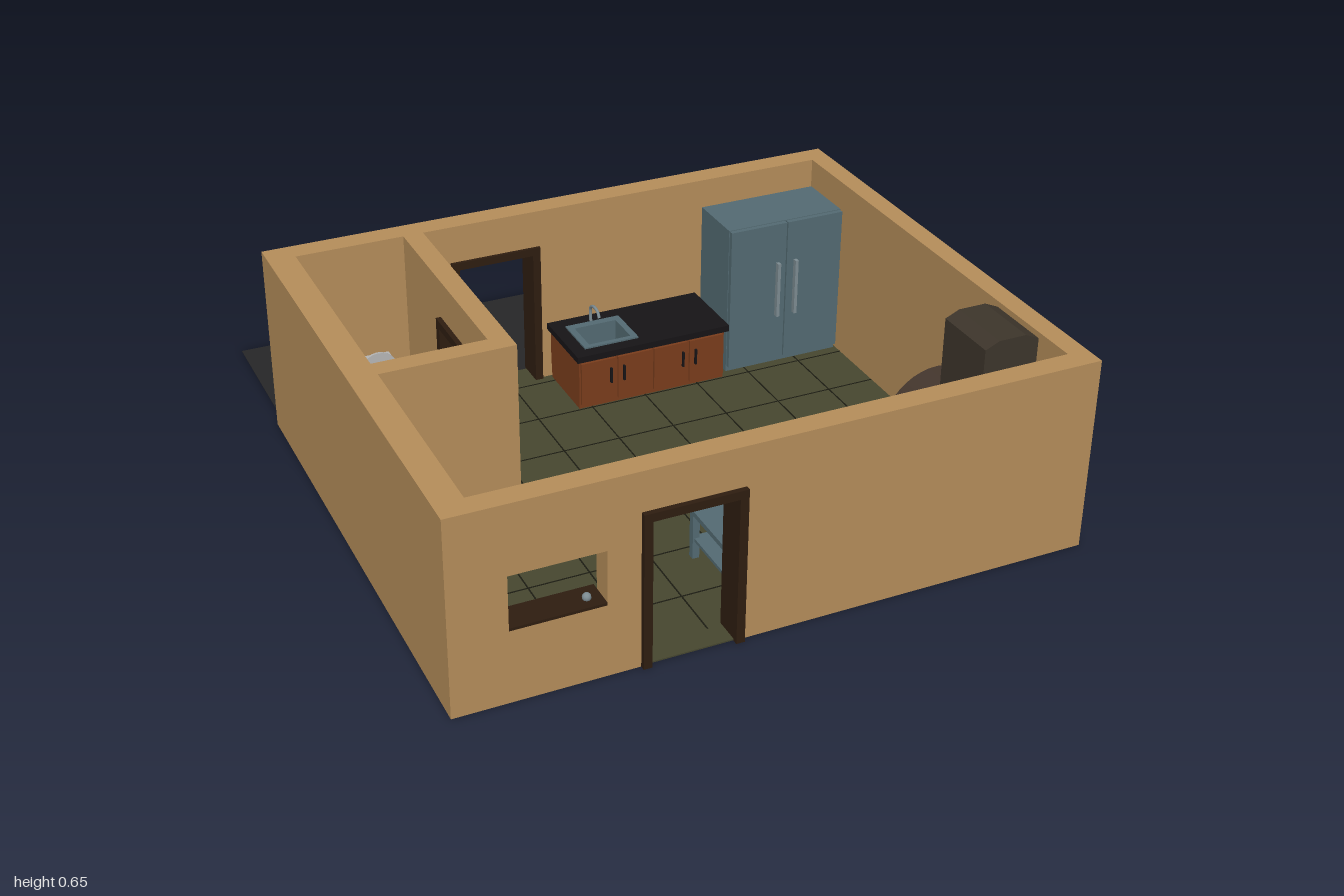
import * as THREE from 'three';

const mat = (color) => new THREE.MeshStandardMaterial({ color, flatShading: true });
const WALL = mat(0xb58d5a), FRAME = mat(0x2e1d10), TILE = mat(0x46462f), GROUT = mat(0x1c1c12);
const STEEL = mat(0x536a72), WOOD = mat(0x7a3d1c), BLACK = mat(0x161416), OVEN = mat(0x44362d);
const CHIMNEY = mat(0x3d352b), SOOT = mat(0x2c3437), GROUND = mat(0x262627);
const PORCELAIN = new THREE.MeshStandardMaterial({ color: 0xb4b4b4 });
const CHROME = new THREE.MeshStandardMaterial({ color: 0x7d8c92 });

function add(parent, name, geo, material) {
  const m = new THREE.Mesh(geo, material);
  m.name = name;
  parent.add(m);
  return m;
}

// Box given by its lower and upper corners
function box(parent, name, material, x0, x1, y0, y1, z0, z1) {
  const m = add(parent, name, new THREE.BoxGeometry(x1 - x0, y1 - y0, z1 - z0), material);
  m.position.set((x0 + x1) / 2, (y0 + y1) / 2, (z0 + z1) / 2);
  return m;
}

const poly = (pts) => new THREE.Shape(pts.map(([x, y]) => new THREE.Vector2(x, y)));
const rect = (x0, x1, y0, y1) => poly([[x0, y0], [x1, y0], [x1, y1], [x0, y1]]);
const extrude = (shape, depth, curveSegments = 12) =>
  new THREE.ExtrudeGeometry(shape, { depth, bevelEnabled: false, curveSegments });

const H = 0.57, DOOR_H = 0.455, DOOR_W = 0.28;

// Wall from a to b with one doorway starting at d, optional window
function doorWall(parent, name, a, b, d, thickness, window) {
  const s = poly([[a, 0], [d, 0], [d, DOOR_H], [d + DOOR_W, DOOR_H], [d + DOOR_W, 0], [b, 0], [b, H], [a, H]]);
  if (window) s.holes.push(rect(...window));
  return add(parent, name, extrude(s, thickness), WALL);
}

function doorFrame(parent, name, x, z, turn = 0) {
  const g = new THREE.Group(), w = DOOR_W / 2, t = 0.024, d = 0.045;
  g.name = name;
  for (const s of [-1, 1]) {
    const c = s * (w - t / 2);
    box(g, 'jamb', FRAME, c - t / 2, c + t / 2, 0, DOOR_H, -d, d);
  }
  box(g, 'lintel', FRAME, -w, w, DOOR_H - t, DOOR_H, -d, d);
  g.position.set(x, 0, z);
  g.rotation.y = turn;
  parent.add(g);
}

function buildShell(root) {
  const g = new THREE.Group();
  g.name = 'houseShell';
  root.add(g);
  doorWall(g, 'frontWall', -0.9, 0.9, -0.4, 0.065, [-0.745, -0.49, 0.215, 0.37]).position.z = 0.92;
  doorWall(g, 'backWall', -0.9, 0.9, -0.36, 0.07).position.z = -0.52;
  box(g, 'sideWall', WALL, -0.9, -0.82, 0, H, -0.45, 0.92);
  box(g, 'sideWall', WALL, 0.84, 0.9, 0, H, -0.45, 0.92);
  // Bathroom partitions
  const p = doorWall(g, 'bathroomWall', -0.29, 0.45, -0.135, 0.06);
  p.rotation.y = Math.PI / 2;
  p.position.x = -0.5;
  box(g, 'bathroomEndWall', WALL, -0.82, -0.5, 0, H, 0.23, 0.29);
  doorFrame(g, 'frontDoorFrame', -0.26, 0.955);
  doorFrame(g, 'backDoorFrame', -0.22, -0.485);
  doorFrame(g, 'bathroomDoorFrame', -0.47, -0.005, Math.PI / 2);
  // Window sill with a small bowl
  box(g, 'windowSill', FRAME, -0.745, -0.49, 0.212, 0.22, 0.9, 0.985);
  const bowl = add(g, 'sillBowl', new THREE.SphereGeometry(0.012, 10, 8), CHROME);
  bowl.position.set(-0.53, 0.226, 0.95);
  // Tiled floor and yard
  box(g, 'floor', TILE, -0.82, 0.84, 0.002, 0.006, -0.45, 0.92);
  box(g, 'floorThreshold', TILE, -0.376, -0.144, 0.002, 0.006, 0.92, 0.985);
  box(g, 'floorThreshold', TILE, -0.336, -0.104, 0.002, 0.006, -0.52, -0.45);
  for (let x = -0.71; x < 0.84; x += 0.175) box(g, 'groutLine', GROUT, x - 0.002, x + 0.002, 0.001, 0.007, -0.45, 0.92);
  for (let z = -0.415; z < 0.92; z += 0.197) box(g, 'groutLine', GROUT, -0.82, 0.84, 0.001, 0.007, z - 0.002, z + 0.002);
  box(g, 'yard', GROUND, -0.88, 0.87, 0, 0.002, -1, -0.52);
}

function buildKitchen(root) {
  const g = new THREE.Group();
  g.name = 'kitchenCounter';
  root.add(g);
  // Open-topped cabinet around the basin
  box(g, 'cabinetFloor', WOOD, -0.05, 0.43, 0, 0.05, -0.44, -0.225);
  box(g, 'cabinetFront', WOOD, -0.05, 0.43, 0.05, 0.17, -0.24, -0.225);
  box(g, 'cabinetBack', WOOD, -0.05, 0.43, 0.05, 0.17, -0.445, -0.43);
  for (const x of [-0.05, 0.415]) box(g, 'cabinetSide', WOOD, x, x + 0.015, 0.05, 0.17, -0.43, -0.24);
  for (let i = 0; i < 4; i++) {
    const x = -0.045 + i * 0.119;
    box(g, 'cabinetDoor', WOOD, x, x + 0.111, 0.02, 0.16, -0.225, -0.217);
    const h = x + (i % 2 ? 0.015 : 0.092);
    box(g, 'doorHandle', BLACK, h, h + 0.006, 0.08, 0.13, -0.217, -0.209);
  }
  const top = rect(-0.06, 0.44, 0.21, 0.45);
  top.holes.push(rect(-0.01, 0.145, 0.26, 0.39));
  const slab = add(g, 'countertop', extrude(top, 0.02), BLACK);
  slab.rotation.x = -Math.PI / 2;
  slab.position.y = 0.17;
  // Sink
  const rim = rect(-0.02, 0.155, 0.25, 0.4);
  rim.holes.push(rect(0, 0.135, 0.265, 0.375));
  const sink = add(g, 'sinkRim', extrude(rim, 0.09), STEEL);
  sink.rotation.x = -Math.PI / 2;
  sink.position.y = 0.105;
  box(g, 'sinkBottom', STEEL, -0.02, 0.155, 0.1, 0.108, -0.4, -0.25);
  const path = new THREE.CatmullRomCurve3([[0.19, -0.41], [0.235, -0.41], [0.25, -0.385], [0.245, -0.355], [0.23, -0.345]]
    .map(([y, z]) => new THREE.Vector3(0.068, y, z)));
  add(g, 'faucet', new THREE.TubeGeometry(path, 16, 0.005, 8), CHROME);

  const f = new THREE.Group();
  f.name = 'refrigerator';
  root.add(f);
  box(f, 'fridgeBody', STEEL, 0.45, 0.83, 0.01, 0.49, -0.43, -0.245);
  for (const [x, h] of [[0.452, 0.66], [0.642, 0.735]].map(([a], i) => [a, i ? 0.665 : 0.605])) {
    box(f, 'fridgeDoor', STEEL, x, x + 0.186, 0.03, 0.488, -0.245, -0.23);
    box(f, 'fridgeHandle', CHROME, h, h + 0.01, 0.18, 0.36, -0.23, -0.215);
  }

  // Steel work table with upstand and lower shelf
  const t = new THREE.Group();
  t.name = 'workTable';
  root.add(t);
  box(t, 'tableTop', STEEL, -0.09, 0.49, 0.15, 0.165, 0.6, 0.9);
  box(t, 'upstand', STEEL, -0.09, 0.49, 0.165, 0.2, 0.89, 0.9);
  box(t, 'lowerShelf', STEEL, -0.08, 0.48, 0.06, 0.07, 0.61, 0.89);
  for (const x of [-0.085, 0.465]) for (const z of [0.605, 0.875])
    box(t, 'tableLeg', STEEL, x, x + 0.02, 0, 0.15, z, z + 0.02);
}

function buildOven(root) {
  const g = new THREE.Group();
  g.name = 'archedOven';
  root.add(g);
  const R = 0.16, spring = 0.24;
  const arch = () => {
    const s = new THREE.Shape();
    s.moveTo(-R, 0);
    s.lineTo(R, 0);
    s.lineTo(R, spring);
    s.absarc(0, spring, R, 0, Math.PI, false);
    s.closePath();
    return s;
  };
  add(g, 'ovenBody', extrude(arch(), 0.28, 10), OVEN).position.z = 0.05;
  // Front with fire mouth and lower panel openings
  const face = arch(), mouth = new THREE.Path();
  mouth.absarc(0, spring - 0.015, 0.125, 0, Math.PI, false);
  mouth.closePath();
  face.holes.push(mouth, rect(-0.125, 0.125, 0.04, 0.195));
  add(g, 'ovenFront', extrude(face, 0.05, 10), OVEN);
  box(g, 'lowerPanel', STEEL, -0.125, 0.125, 0.04, 0.195, 0.015, 0.05);
  box(g, 'mouthLining', SOOT, -0.12, 0.12, 0.225, 0.3, 0.045, 0.052);
  const lining = add(g, 'mouthLining', new THREE.CircleGeometry(0.125, 12, 0, Math.PI), SOOT);
  lining.rotation.y = Math.PI;
  lining.position.set(0, spring - 0.015, 0.044);
  // Grate across the mouth
  for (let i = -3; i <= 3; i++) {
    const x = i * 0.032, h = Math.sqrt(0.125 ** 2 - x * x);
    box(g, 'grateBar', OVEN, x - 0.003, x + 0.003, 0.225, 0.225 + h, 0.025, 0.031);
  }
  // Chimney with a chamfered crown
  const c = poly([[-0.08, 0.3], [0.08, 0.3], [0.08, 0.632], [0.04, 0.65], [-0.04, 0.65], [-0.08, 0.632]]);
  add(g, 'chimney', extrude(c, 0.19), CHIMNEY).position.z = 0.14;
  g.position.set(0.67, 0, 0.58);
}

function buildToilet(root) {
  const g = new THREE.Group();
  g.name = 'toilet';
  root.add(g);
  const profile = [[0, 0], [0.04, 0], [0.034, 0.03], [0.042, 0.065], [0.064, 0.1], [0.064, 0.11], [0.05, 0.11], [0.036, 0.08], [0, 0.065]];
  const bowl = add(g, 'bowl', new THREE.LatheGeometry(profile.map(([x, y]) => new THREE.Vector2(x, y)), 24), PORCELAIN);
  bowl.scale.z = 1.25;
  const seat = add(g, 'seat', new THREE.TorusGeometry(0.053, 0.012, 8, 24), PORCELAIN);
  seat.rotation.x = Math.PI / 2;
  seat.scale.set(1, 1.25, 0.6);
  seat.position.y = 0.112;
  const lid = add(g, 'raisedLid', new THREE.CylinderGeometry(0.064, 0.064, 0.008, 24), PORCELAIN);
  lid.rotation.x = Math.PI / 2 - 0.05;
  lid.scale.z = 1.15;
  lid.position.set(0, 0.185, -0.083);
  box(g, 'pedestalBack', PORCELAIN, -0.03, 0.03, 0, 0.1, -0.13, -0.03);
  box(g, 'tank', PORCELAIN, -0.045, 0.045, 0.1, 0.215, -0.132, -0.097);
  box(g, 'tankLid', PORCELAIN, -0.049, 0.049, 0.215, 0.228, -0.136, -0.094);
  g.position.set(-0.628, 0.005, -0.268);
}

export function createModel() {
  const root = new THREE.Group();
  root.name = 'cutawayHouse';
  buildShell(root);
  buildKitchen(root);
  buildOven(root);
  buildToilet(root);
  return root;
}
